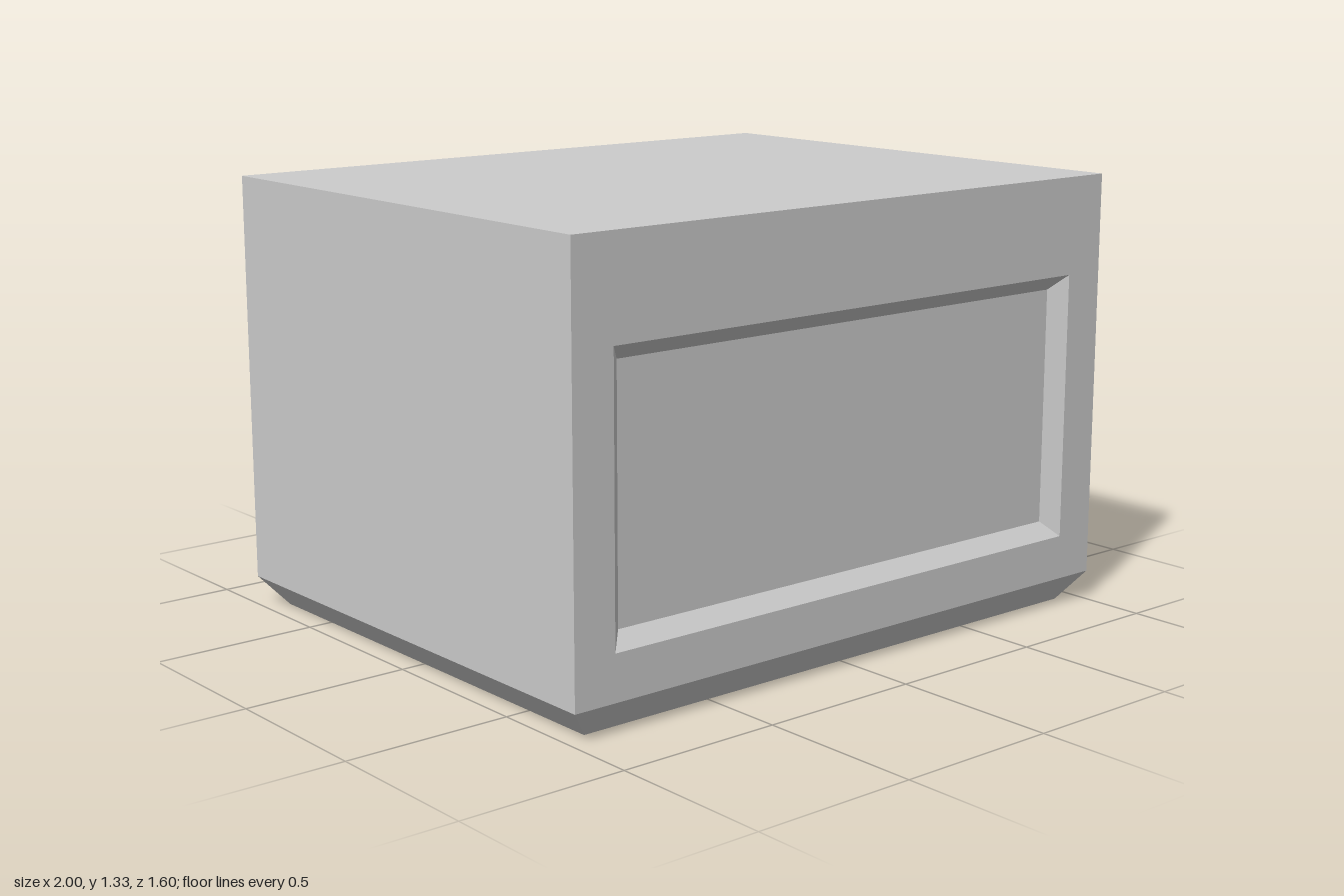
import * as THREE from 'three';

// Rectangle loops, counter-clockwise as seen from above / from the front
const flatRing = (hx, hz, y) =>
  [[-hx, y, hz], [hx, y, hz], [hx, y, -hz], [-hx, y, -hz]];
const frontRing = (x0, x1, y0, y1, z) =>
  [[x0, y0, z], [x1, y0, z], [x1, y1, z], [x0, y1, z]];

// Four quads joining loop a to loop b; sides listed in skip are left open
function band(a, b, skip = []) {
  const quads = [];
  for (let i = 0; i < 4; i++) {
    const j = (i + 1) % 4;
    if (!skip.includes(i)) quads.push([a[i], a[j], b[j], b[i]]);
  }
  return quads;
}

function quadMesh(name, quads, material) {
  const points = quads.flatMap(([a, b, c, d]) => [a, b, c, a, c, d]).flat();
  const geometry = new THREE.BufferGeometry();
  geometry.setAttribute('position', new THREE.Float32BufferAttribute(points, 3));
  geometry.computeVertexNormals();
  const mesh = new THREE.Mesh(geometry, material);
  mesh.name = name;
  return mesh;
}

export function createModel() {
  const group = new THREE.Group();
  group.name = 'cabinet';
  const grey = new THREE.MeshStandardMaterial({ color: 0xcccccc });
  grey.name = 'grey';

  const top = 1.325, shoulder = 0.09, front = 0.8, depth = 0.045;

  // Box shell, open at the front where the frame fits
  const foot = flatRing(0.925, 0.74, 0);
  const lower = flatRing(1, front, shoulder);
  const upper = flatRing(1, front, top);
  group.add(quadMesh('shell', [...band(lower, upper, [0]), upper], grey));

  // Chamfered base with its underside
  group.add(quadMesh('base', [...band(foot, lower), [...foot].reverse()], grey));

  // Front frame, sloping recess and sunken panel
  const edge = frontRing(-1, 1, shoulder, top, front);
  const rim = frontRing(-0.867, 0.867, 0.225, 1.032, front);
  const inner = frontRing(-0.822, 0.822, 0.27, 0.987, front - depth);
  group.add(quadMesh('frontFrame', band(edge, rim), grey));
  group.add(quadMesh('recessBevel', band(rim, inner), grey));
  group.add(quadMesh('frontPanel', [inner], grey));

  return group;
}
